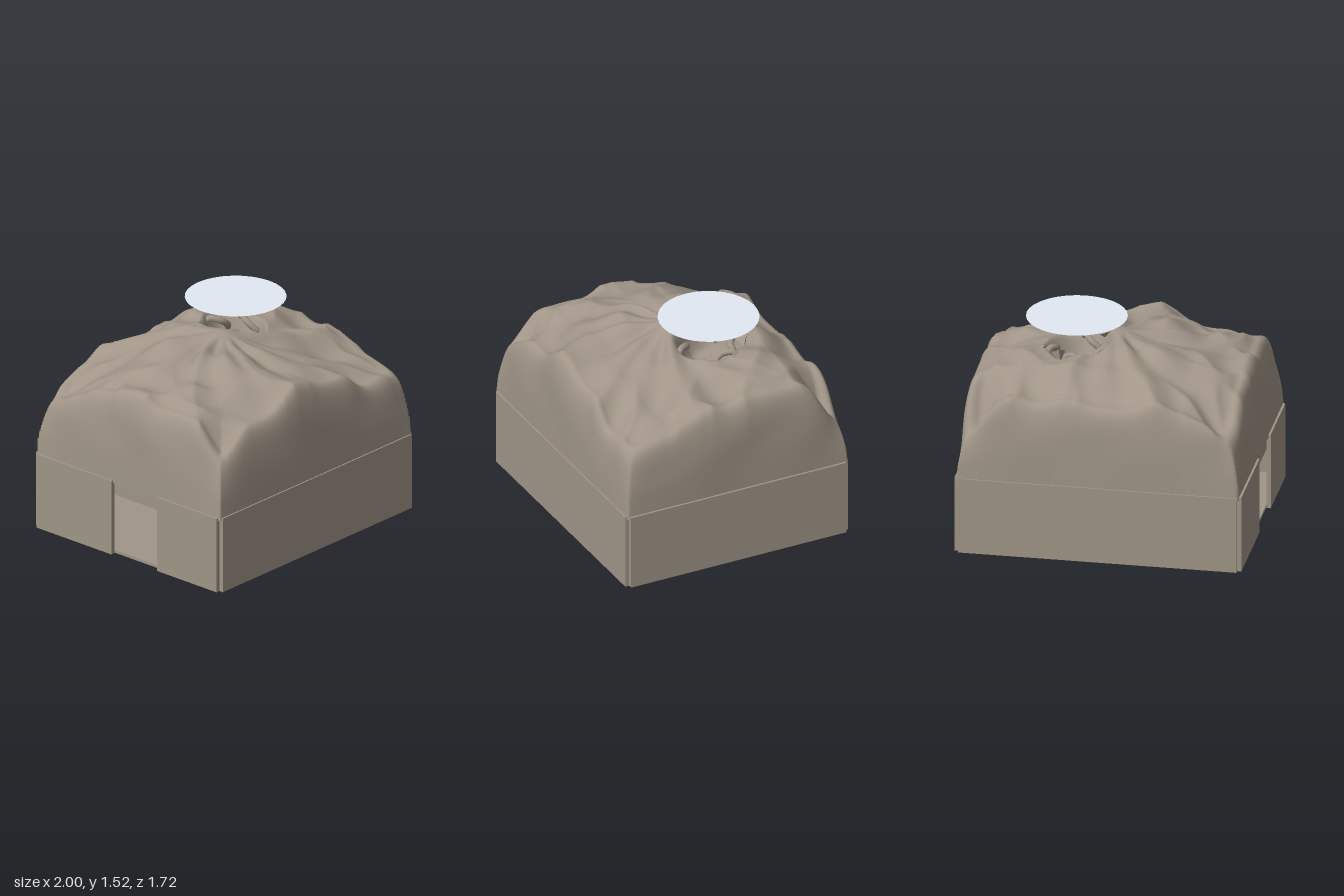
import * as THREE from 'three';

const earth = new THREE.MeshStandardMaterial({ color: 0xa09587, side: THREE.DoubleSide });
const pale = new THREE.MeshStandardMaterial({ color: 0xe2e9f4, side: THREE.DoubleSide });

// Control heights: rows run back to front, columns left to right
const HEIGHTS = [
  [0.96, 1.13, 1.17, 1.15, 1.15, 1.18, 0.92],
  [1.07, 1.19, 1.26, 1.30, 1.30, 1.30, 1.20],
  [1.15, 1.27, 1.36, 1.37, 1.33, 1.31, 1.22],
  [1.24, 1.28, 1.33, 1.39, 1.34, 1.28, 1.21],
  [1.20, 1.25, 1.38, 1.32, 1.27, 1.22, 1.15],
  [1.14, 1.23, 1.28, 1.26, 1.20, 1.13, 1.10],
  [1.00, 1.11, 1.20, 1.28, 1.15, 1.05, 1.00],
];
const PIT = { x: 0.26, z: -0.15, r: 0.24 };
const { lerp, clamp, smoothstep } = THREE.MathUtils;

function add(group, name, geometry, material, x = 0, y = 0, z = 0) {
  const mesh = new THREE.Mesh(geometry, material);
  mesh.name = name;
  mesh.position.set(x, y, z);
  group.add(mesh);
  return mesh;
}

// Smooth lookup in the control heights, a and b in -1..1
function baseHeight(a, b) {
  const u = clamp((a + 1) * 3, 0, 6), v = clamp((b + 1) * 3, 0, 6);
  const i = Math.min(5, Math.floor(u)), j = Math.min(5, Math.floor(v));
  const s = smoothstep(u - i, 0, 1) * 0.5 + (u - i) * 0.5;
  const t = smoothstep(v - j, 0, 1) * 0.5 + (v - j) * 0.5;
  return lerp(lerp(HEIGHTS[j][i], HEIGHTS[j][i + 1], s),
    lerp(HEIGHTS[j + 1][i], HEIGHTS[j + 1][i + 1], s), t);
}

// Folds fanning out from the middle, plus crags that grow towards the rim
function folds(x, z) {
  const angle = Math.atan2(z, x), r = Math.hypot(x, z);
  const fade = smoothstep(r, 0.03, 0.3);
  const ridge = 1 - 2 * Math.abs(Math.sin(angle * 4 + 1.6 * r + 0.6));
  const crag = 0.5 - Math.abs(Math.sin(6 * x + 2 * z + Math.sin(5 * z)))
    * Math.abs(Math.sin(6.5 * z - 2.5 * x + Math.sin(4 * x)));
  return fade * (0.018 * ridge + 0.012 * Math.sin(angle * 13 + 5 * r)
    + 0.06 * smoothstep(r, 0.3, 0.9) * (crag - 0.1));
}

// Crumpled hill: a square sheet whose outer rings turn down into walls
function hillGeometry() {
  const n = 140;
  const geometry = new THREE.PlaneGeometry(2, 2, n, n).rotateX(-Math.PI / 2);
  const p = geometry.attributes.position;
  for (let i = 0; i < p.count; i++) {
    const u = p.getX(i), v = p.getZ(i);
    const k = Math.max(Math.abs(u), Math.abs(v), 1e-6);
    const du = u / k, dv = v / k, t = Math.min(k / 0.75, 1);
    const s = clamp((k - 0.75) / 0.25, 0, 1) * Math.PI / 2;
    const r = k < 0.75 ? t * 0.88 : 0.88 + 0.12 * Math.pow(Math.sin(s), 0.75);
    let x = du * r * 0.985, z = dv * r * 0.85;
    let y = baseHeight(du * t, dv * t) + folds(du * t * 0.88, dv * t * 0.76);
    const d = Math.hypot(x - PIT.x, z - PIT.z);
    y -= 0.22 * (1 - smoothstep(d, PIT.r * 0.6, PIT.r));
    y = 0.53 + (y - 0.53) * Math.pow(Math.max(Math.cos(s), 0), 0.5);
    // Corners are rounded off above the box; the walls bulge unevenly
    const lift = smoothstep(y, 0.53, 0.95) * smoothstep(k, 0.4, 0.8);
    const corner = Math.pow(Math.abs(du * dv), 5) * 0.04;
    const bulge = 0.008 * Math.sin(7 * x + 5 * y) * Math.sin(8 * z + 4 * y) - 0.004;
    x *= 1 - lift * (corner - bulge);
    z *= 1 - lift * (corner - bulge);
    p.setXYZ(i, x, y, z);
  }
  geometry.computeVertexNormals();
  return geometry;
}

export function createModel() {
  const model = new THREE.Group();
  model.name = 'hillOnBox';

  // Outer panels of the box, leaving small notches at the corners
  const H = 0.55, T = 0.03;
  for (const side of [1, -1]) {
    add(model, side > 0 ? 'frontPanel' : 'backPanel',
      new THREE.BoxGeometry(1.94, H, T), earth, 0, H / 2, side * 0.845);
  }
  add(model, 'leftPanel', new THREE.BoxGeometry(T, H, 1.66), earth, 0.985, H / 2, 0);

  // Panel with the doorway, backed by a lintel
  const door = [-0.14, 0.28];
  for (const [from, to] of [[-0.83, door[0]], [door[1], 0.83]]) {
    add(model, 'doorwayPanel', new THREE.BoxGeometry(T, H, to - from), earth,
      -0.985, H / 2, (from + to) / 2);
  }
  add(model, 'lintel', new THREE.BoxGeometry(0.02, 0.11, door[1] - door[0]), earth,
    -0.96, H - 0.055, (door[0] + door[1]) / 2);

  add(model, 'floor', new THREE.BoxGeometry(1.94, 0.02, 1.66), earth, 0, 0.015, 0);
  add(model, 'hill', hillGeometry(), earth);

  // Bent roots hooked around the pit
  const roots = new THREE.Group();
  roots.name = 'roots';
  roots.position.set(PIT.x, -0.02, PIT.z);
  model.add(roots);
  const curve = new THREE.CatmullRomCurve3([
    new THREE.Vector3(0.24, 1.27, -0.09),
    new THREE.Vector3(0.2, 1.32, -0.05),
    new THREE.Vector3(0.15, 1.3, 0.02),
    new THREE.Vector3(0.17, 1.24, 0.09),
    new THREE.Vector3(0.21, 1.2, 0.1),
  ]);
  const rootGeometry = new THREE.TubeGeometry(curve, 16, 0.024, 8);
  for (const turn of [0.2, 1.4, 2.9, 4.4]) {
    add(roots, 'root', rootGeometry, earth).rotation.y = turn;
  }

  // Jagged stones on the rim
  for (const [x, y, z, size] of [[0.08, 1.35, 0.0, 0.07], [0.36, 1.32, -0.36, 0.06], [0.5, 1.29, -0.24, 0.05]]) {
    const stone = add(model, 'rimStone', new THREE.TetrahedronGeometry(size), earth, x, y, z);
    stone.rotation.set(x * 5, z * 7, 0.4);
  }

  // Thin disc hovering above the pit
  const disc = add(model, 'disc', new THREE.CircleGeometry(0.35, 32), pale, 0.275, 1.52, -0.14);
  disc.rotation.x = -Math.PI / 2;
  return model;
}
